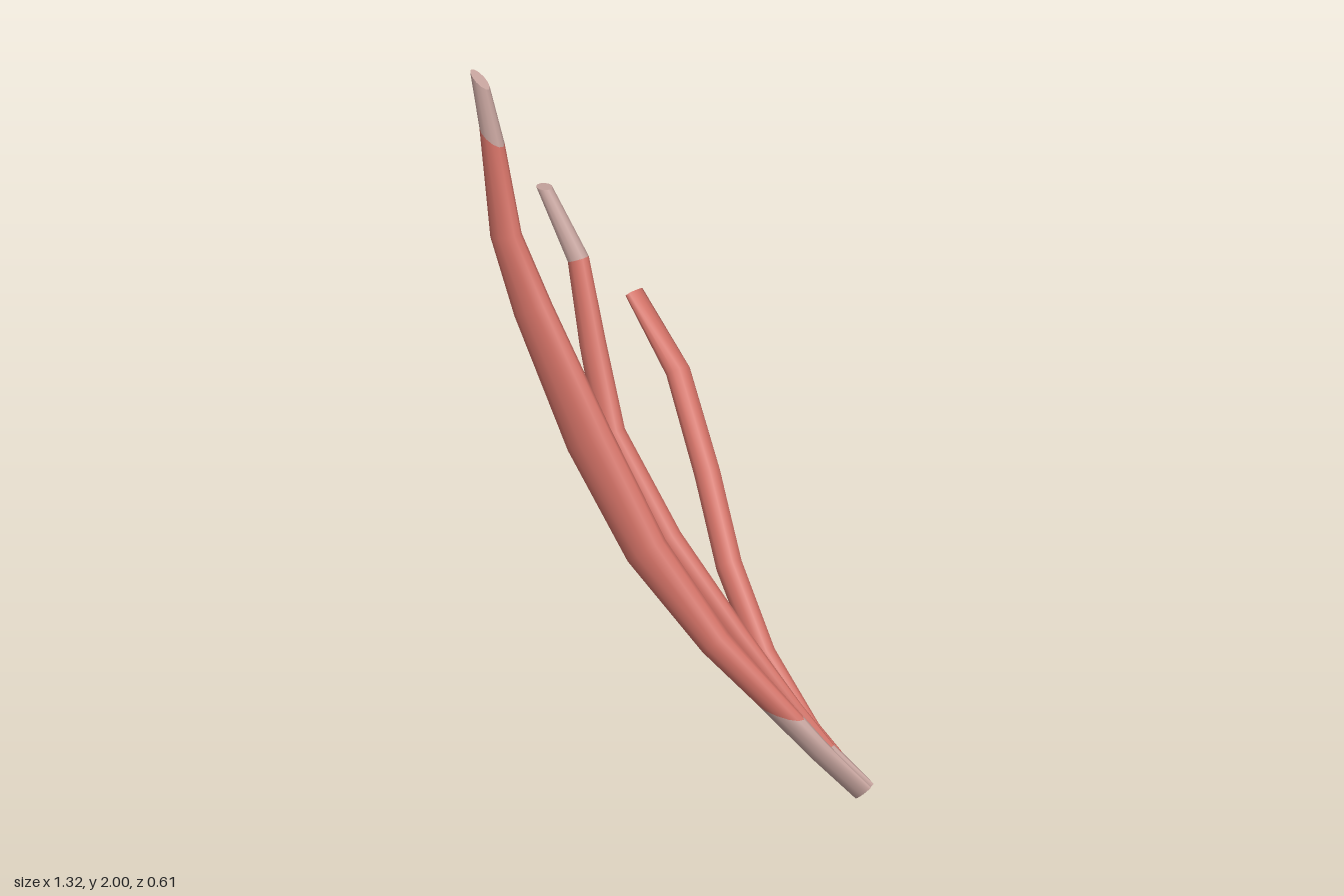
import * as THREE from 'three';

const SIDES = 12;
const muscle = new THREE.MeshStandardMaterial({ color: 0xd2705f });
muscle.name = 'muscle red';
muscle.color.set(0xd07065);
const tendon = new THREE.MeshStandardMaterial({ color: 0xc4a29c });
tendon.name = 'tendon grey';

// Lofts an elliptical strand through stations [x, y, z, half width, half depth, tilt].
// Segments before "from" and from "to" onward are tendon, the rest muscle.
function strand(name, stations, from, to) {
  const centres = stations.map((s) => new THREE.Vector3(s[0], s[1], s[2]));
  const last = stations.length - 1;
  const pos = [], index = [];
  const geo = new THREE.BufferGeometry();
  const matOf = (i) => (i < from || i >= to ? 1 : 0);

  const ring = (i) => {
    const [, , , w, d, tilt = 0] = stations[i];
    const t = centres[Math.min(i + 1, last)].clone().sub(centres[Math.max(i - 1, 0)]).normalize();
    const n = new THREE.Vector3().crossVectors(t, new THREE.Vector3(0, 0, 1)).normalize();
    const b = new THREE.Vector3().crossVectors(t, n);
    for (let j = 0; j < SIDES; j++) {
      const a = (j / SIDES) * Math.PI * 2, c = Math.cos(a);
      const p = centres[i].clone().addScaledVector(n, w * c)
        .addScaledVector(b, d * Math.sin(a)).addScaledVector(t, tilt * c);
      pos.push(p.x, p.y, p.z);
    }
  };

  // side wall
  stations.forEach((_, i) => ring(i));
  for (let i = 0; i < last; i++) {
    geo.addGroup(index.length, SIDES * 6, matOf(i));
    for (let j = 0; j < SIDES; j++) {
      const a = i * SIDES + j, b = i * SIDES + ((j + 1) % SIDES);
      index.push(a, b, a + SIDES, b, b + SIDES, a + SIDES);
    }
  }
  // cut ends, with their own vertices for a sharp rim
  for (const i of [0, last]) {
    const base = pos.length / 3;
    ring(i);
    pos.push(...centres[i].toArray());
    geo.addGroup(index.length, SIDES * 3, matOf(i ? last - 1 : 0));
    for (let j = 0; j < SIDES; j++) {
      const a = base + j, b = base + ((j + 1) % SIDES);
      index.push(base + SIDES, ...(i ? [a, b] : [b, a]));
    }
  }
  geo.setAttribute('position', new THREE.Float32BufferAttribute(pos, 3));
  geo.setIndex(index);
  geo.computeVertexNormals();
  const mesh = new THREE.Mesh(geo, [muscle, tendon]);
  mesh.name = name;
  return mesh;
}

export function createModel() {
  const group = new THREE.Group();
  group.name = 'threeStrandMuscle';

  group.add(strand('frontStrand', [
    [-0.638, 1.978, 0.205, 0.026, 0.018, -0.028],
    [-0.605, 1.8, 0.192, 0.035, 0.027, -0.03],
    [-0.55, 1.5, 0.2, 0.052, 0.033],
    [-0.443, 1.3, 0.215, 0.07, 0.037],
    [-0.22, 0.96, 0.245, 0.086, 0.044],
    [-0.01, 0.68, 0.258, 0.075, 0.046],
    [0.21, 0.44, 0.226, 0.052, 0.041],
    [0.405, 0.26, 0.177, 0.043, 0.026, -0.06],
    [0.51, 0.152, 0.14, 0.04, 0.02],
    [0.628, 0.028, 0.086, 0.037, 0.013],
  ], 1, 7));

  group.add(strand('middleStrand', [
    [-0.56, 1.565, 0.004, 0.022, 0.021, -0.012],
    [-0.44, 1.37, 0.004, 0.034, 0.028],
    [-0.345, 1.15, 0.062, 0.042, 0.033],
    [-0.24, 0.92, 0.118, 0.048, 0.036],
    [-0.02, 0.66, 0.145, 0.05, 0.037],
    [0.22, 0.42, 0.138, 0.045, 0.029],
    [0.4, 0.235, 0.118, 0.04, 0.02],
    [0.51, 0.13, 0.1, 0.035, 0.017],
    [0.63, 0.03, 0.068, 0.033, 0.012],
  ], 1, 7));

  group.add(strand('rearStrand', [
    [-0.448, 1.135, -0.272, 0.018, 0.032],
    [-0.26, 0.96, -0.228, 0.034, 0.037],
    [-0.08, 0.735, -0.125, 0.039, 0.038],
    [0.075, 0.535, -0.02, 0.042, 0.036],
    [0.255, 0.34, 0.06, 0.042, 0.033],
    [0.43, 0.16, 0.072, 0.037, 0.022],
    [0.49, 0.108, 0.067, 0.034, 0.019, -0.03],
    [0.605, 0.023, 0.046, 0.03, 0.012],
  ], 0, 6));

  return group;
}
